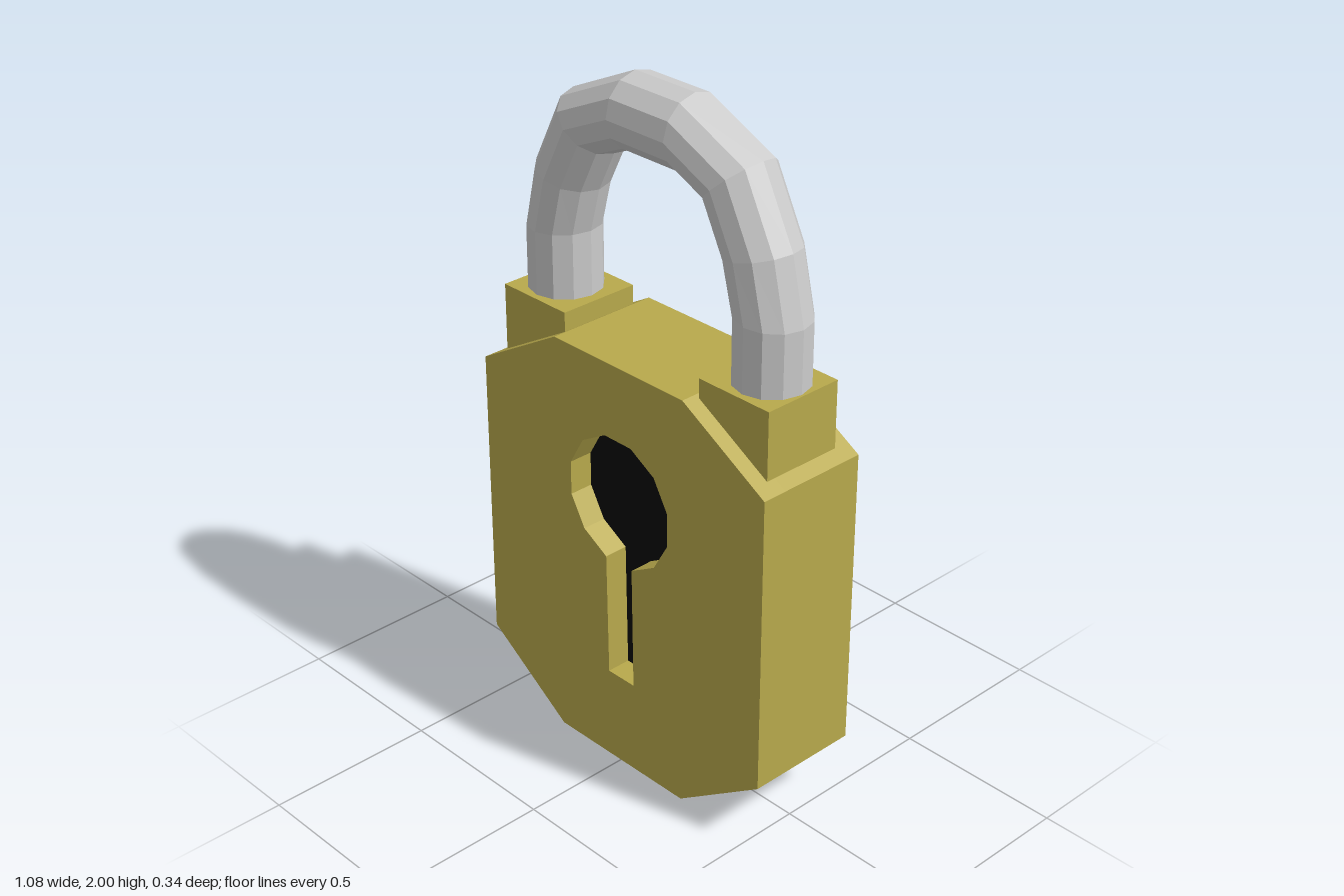
import * as THREE from 'three';

const brass = new THREE.MeshStandardMaterial({ color: 0xb8a94c, flatShading: true });
const steel = new THREE.MeshStandardMaterial({ color: 0xcccccc, flatShading: true });
const black = new THREE.MeshStandardMaterial({ color: 0x0a0a0a, flatShading: true });

const HALF_DEPTH = 0.172;
const HOLE_DEPTH = 0.075;

const toVectors = (points) => points.map(([x, y]) => new THREE.Vector2(x, y));

function addMesh(group, name, geometry, material) {
  const mesh = new THREE.Mesh(geometry, material);
  mesh.name = name;
  group.add(mesh);
  return mesh;
}

// Octagonal body outline, counter-clockwise
function bodyOutline() {
  return new THREE.Shape(toVectors([
    [0.245, 0], [0.54, 0.2], [0.54, 1.09], [0.245, 1.26],
    [-0.245, 1.26], [-0.54, 1.09], [-0.54, 0.2], [-0.245, 0],
  ]));
}

// Twelve-sided round hole that opens into a straight slot below
function keyholePoints() {
  const points = [[0.055, 0.285]];
  for (let i = 0; i < 12; i++) {
    const a = THREE.MathUtils.degToRad(-75 + i * 30);
    points.push([0.196 * Math.cos(a), 0.85 + 0.196 * Math.sin(a)]);
  }
  points.push([-0.045, 0.285]);
  return toVectors(points);
}

function extrude(shape, depth, z) {
  return new THREE.ExtrudeGeometry(shape, { depth, bevelEnabled: false }).translate(0, 0, z);
}

// Twelve-sided bar swept between an outer and an inner arch line
function shackleGeometry() {
  const half = [ // outer x, outer y, inner x, inner y
    [0.495, 1.22, 0.285, 1.22],
    [0.495, 1.49, 0.285, 1.5],
    [0.452, 1.68, 0.25, 1.63],
    [0.345, 1.89, 0.19, 1.75],
    [0.108, 2.0, 0.1, 1.79],
  ];
  const mirrored = half.map(([ox, oy, ix, iy]) => [-ox, oy, -ix, iy]).reverse();
  const rings = [...half, ...mirrored];
  const sides = 12;
  const positions = [];
  const index = [];
  rings.forEach(([ox, oy, ix, iy], i) => {
    for (let j = 0; j < sides; j++) {
      const a = (j / sides) * Math.PI * 2;
      const t = (1 + Math.cos(a)) / 2;
      positions.push(ix + (ox - ix) * t, iy + (oy - iy) * t, 0.106 * Math.sin(a));
      if (i === rings.length - 1) continue;
      const k = (j + 1) % sides;
      const p = i * sides, q = p + sides;
      index.push(p + j, q + j, q + k, p + j, q + k, p + k);
    }
  });
  const geometry = new THREE.BufferGeometry();
  geometry.setAttribute('position', new THREE.Float32BufferAttribute(positions, 3));
  geometry.setIndex(index);
  geometry.computeVertexNormals();
  return geometry;
}

export function createModel() {
  const group = new THREE.Group();
  group.name = 'padlock';

  // Body: solid back with a pierced front layer
  const split = HALF_DEPTH - HOLE_DEPTH;
  const front = bodyOutline();
  front.holes.push(new THREE.Path(keyholePoints()));
  addMesh(group, 'bodyBack', extrude(bodyOutline(), HALF_DEPTH + split, -HALF_DEPTH), brass);
  addMesh(group, 'bodyFront', extrude(front, HOLE_DEPTH, split), brass);

  // Dark floor of the keyhole
  const floor = new THREE.ShapeGeometry(new THREE.Shape(keyholePoints()));
  addMesh(group, 'keyholeFloor', floor.translate(0, 0, split + 0.003), black);

  // Square collars around the shackle legs
  for (const [name, side] of [['leftCollar', 1], ['rightCollar', -1]]) {
    const collar = addMesh(group, name, new THREE.BoxGeometry(0.245, 0.21, 0.248), brass);
    collar.position.set(side * 0.379, 1.205, 0);
  }

  addMesh(group, 'shackle', shackleGeometry(), steel);
  return group;
}
